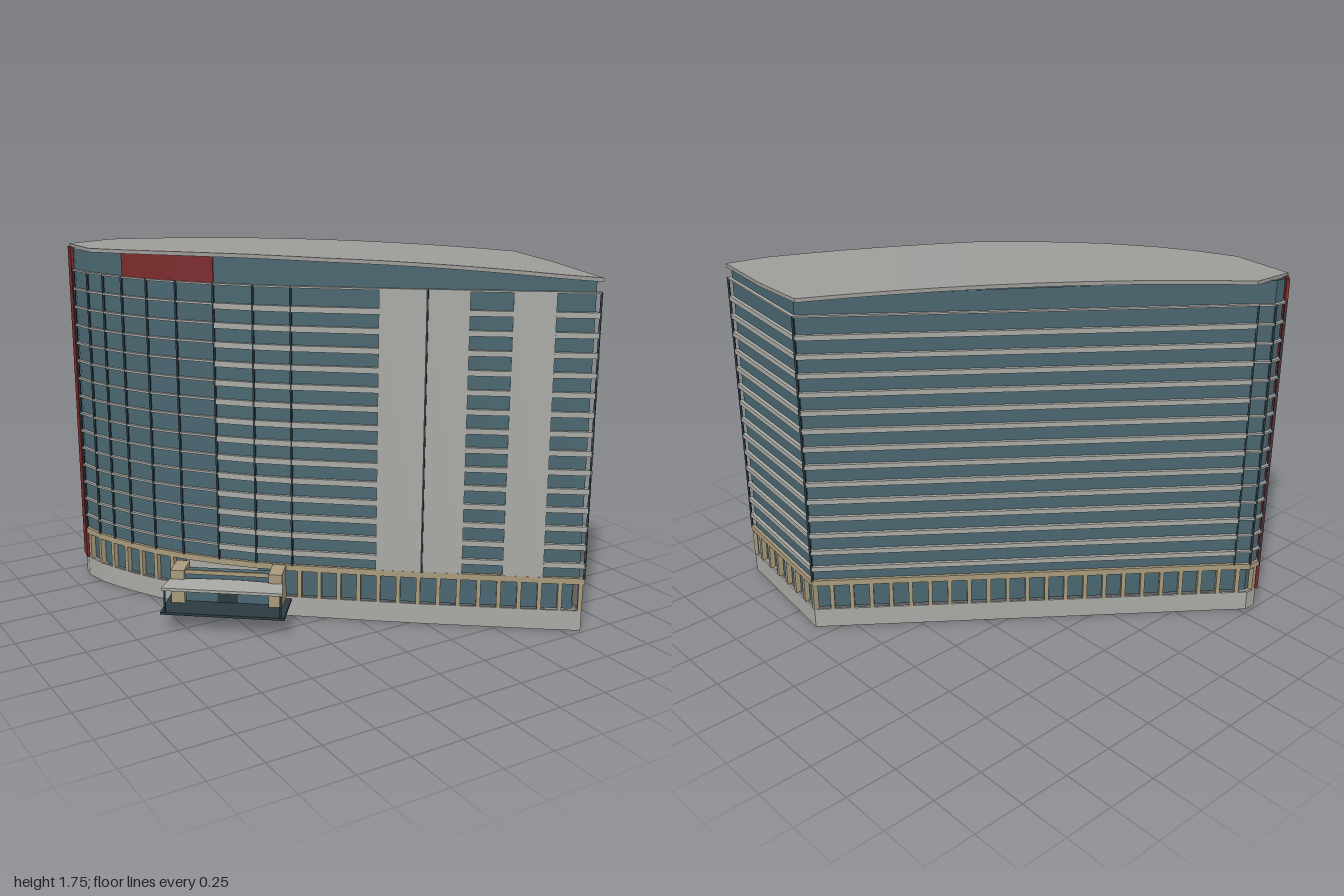
import * as THREE from 'three';

const mat = (name, color) => {
  const m = new THREE.MeshStandardMaterial({ color, side: THREE.DoubleSide, flatShading: true });
  m.name = name;
  return m;
};

// Footprint of the tower (x, z), from the front right corner round the curved left end
const OUTLINE = [
  [0.83, 0.985], [0.68, 0.875], [0.53, 0.76], [0.38, 0.645], [0.23, 0.53], [0.06, 0.395],
  [-0.25, 0.14], [-0.38, 0.02], [-0.51, -0.12], [-0.63, -0.27], [-0.72, -0.4], [-0.79, -0.53],
  [-0.84, -0.64], [-0.88, -0.74], [-0.905, -0.86], [-0.89, -0.94], [-0.84, -0.985],
  [-0.78, -0.98], [-0.72, -0.93], [0.905, 0.33],
].map(([x, z]) => new THREE.Vector2(x, z));
const N = OUTLINE.length;

const ROOF = [
  [-0.89, -0.95], [-0.67, -0.95], [0.92, 0.28], [0.895, 0.6], [0.83, 1.0], [0.66, 0.91],
  [-0.15, 0.28], [-0.3, 0.13], [-0.55, -0.14], [-0.7, -0.33], [-0.8, -0.48], [-0.895, -0.66],
];

const FLOOR0 = 0.25, FLOORS = 15, TOP = 1.61, STEP = (TOP - FLOOR0) / FLOORS;

// Roof height falls away along the length of the tower
const roofY = (x, z) => 1.75 - 0.029 * (0.8 * x + 0.6 * z + 0.35) ** 2;

// Outline corner i moved outwards by d with a mitred corner
function corner(i, d) {
  const p = OUTLINE[(i + N) % N], a = OUTLINE[(i + N - 1) % N], b = OUTLINE[(i + 1) % N];
  const normal = (s, e) => new THREE.Vector2(e.y - s.y, s.x - e.x).normalize();
  const n1 = normal(a, p), n2 = normal(p, b);
  const m = n1.clone().add(n2).normalize();
  const r = d / m.dot(n1);
  return new THREE.Vector2(p.x + m.x * r, -(p.y + m.y * r));
}

// Wall strip along outline corners i0..i1, between two offsets and two heights
function strip(name, material, i0, i1, inner, outer, y0, y1) {
  const inside = [], outside = [];
  const full = i1 - i0 === N;
  for (let i = i0; i <= i1 - (full ? 1 : 0); i++) {
    inside.push(corner(i, inner));
    outside.push(corner(i, outer));
  }
  const shape = new THREE.Shape(full ? outside : outside.concat(inside.reverse()));
  if (full) shape.holes.push(new THREE.Path(inside));
  const toRoof = y1 === 'roof';
  const geo = new THREE.ExtrudeGeometry(shape, { depth: toRoof ? 1 : y1 - y0, bevelEnabled: false });
  geo.rotateX(-Math.PI / 2).translate(0, y0, 0);
  if (toRoof) {
    const p = geo.attributes.position;
    for (let i = 0; i < p.count; i++) {
      if (p.getY(i) > y0 + 0.5) p.setY(i, roofY(p.getX(i), p.getZ(i)) - 0.012);
    }
    geo.computeVertexNormals();
  }
  const mesh = new THREE.Mesh(geo, material);
  mesh.name = name;
  return mesh;
}

function box(name, material, w, h, d, x, y, z, ry = 0) {
  const mesh = new THREE.Mesh(new THREE.BoxGeometry(w, h, d), material);
  mesh.name = name;
  mesh.position.set(x, y, z);
  mesh.rotation.y = ry;
  return mesh;
}

// Curved roof plate, lofted from cross-sections across the length
function roofPlate(material) {
  const pts = ROOF.map(([x, z]) => [0.8 * x + 0.6 * z, -0.6 * x + 0.8 * z]);
  const stations = pts.map((p) => p[0]);
  for (let s = -1.2; s < 1.2; s += 0.15) stations.push(s);
  stations.sort((a, b) => a - b);
  const pos = [], idx = [];
  for (const s of stations) {
    const w = [];
    pts.forEach((p, i) => {
      const q = pts[(i + 1) % pts.length];
      if (s < Math.min(p[0], q[0]) || s > Math.max(p[0], q[0]) || p[0] === q[0]) return;
      w.push(p[1] + ((q[1] - p[1]) * (s - p[0])) / (q[0] - p[0]));
    });
    const back = Math.min(...w), front = Math.max(...w);
    for (const [v, drop] of [[back, 0], [front, 0], [front, 0.018], [back, 0.018]]) {
      const x = 0.8 * s - 0.6 * v, z = 0.6 * s + 0.8 * v;
      pos.push(x, roofY(x, z) - drop, z);
    }
  }
  for (let k = 0; k < stations.length - 1; k++) {
    for (let j = 0; j < 4; j++) {
      const a = 4 * k + j, b = 4 * k + ((j + 1) % 4);
      idx.push(a, b, a + 4, b, b + 4, a + 4);
    }
  }
  const geo = new THREE.BufferGeometry();
  geo.setAttribute('position', new THREE.Float32BufferAttribute(pos, 3));
  geo.setIndex(idx);
  geo.computeVertexNormals();
  const mesh = new THREE.Mesh(geo, material);
  mesh.name = 'roof';
  return mesh;
}

export function createModel() {
  const concrete = mat('concrete', 0xa9a9a5);
  const glass = mat('blue glass', 0x4a6670);
  const tan = mat('tan stone', 0xa89a7c);
  const red = mat('red panel', 0x7c2b2d);
  const dark = mat('dark frame', 0x2c3a40);
  const roofGrey = mat('roof grey', 0x9d9c99);

  const model = new THREE.Group();
  model.name = 'tower';
  const add = (...parts) => model.add(...parts);

  // Base, ground floor glass with the entrance left open, and stone lintel
  add(strip('base', concrete, 0, N, -0.01, 0, 0, 0.1));
  add(strip('groundGlass', glass, 9, N + 7, -0.03, -0.025, 0.1, 0.24));
  add(strip('lintel', tan, 0, N, -0.03, 0.005, 0.235, 0.265));

  // Stone columns round the ground floor
  const path = new THREE.CurvePath();
  OUTLINE.forEach((p, i) => path.add(new THREE.LineCurve(p, OUTLINE[(i + 1) % N])));
  const count = Math.round(path.getLength() / 0.094);
  const columns = new THREE.Group();
  columns.name = 'columns';
  for (let i = 0; i < count; i++) {
    const u = (i + 0.1) / count;
    const p = path.getPoint(u), t = path.getTangent(u);
    if (t.x < 0 && p.x > -0.64 && p.x < -0.34) continue;
    columns.add(box('column', tan, 0.02, 0.14, 0.026,
      p.x - t.y * 0.01, 0.17, p.y + t.x * 0.01, Math.atan2(-t.y, t.x)));
  }
  add(columns);

  // Glass skin up to the roof
  add(strip('glassWall', glass, 0, N, -0.016, -0.01, FLOOR0, 'roof'));

  // Solid concrete bays on the front
  add(strip('wideBay', concrete, 3, 5, -0.009, 0.004, 0.26, TOP));
  add(strip('narrowBay', concrete, 1, 2, -0.009, 0.004, 0.26, TOP));

  // Floor bands: [first corner, last corner, height]
  const runs = [[0, 1, 0.026], [2, 3, 0.026], [5, 8, 0.028], [8, 18, 0.01], [18, 20, 0.024]];
  for (let f = 1; f <= FLOORS; f++) {
    const y = FLOOR0 + f * STEP;
    for (const [a, b, h] of runs) {
      const height = f === FLOORS ? 0.008 : h;
      add(strip('floorBand', concrete, a, b, -0.012, 0.006, y - height, y));
    }
  }

  // Dark mullions on the facet corners
  for (const i of [0, 4, 6, 7, 8, 9, 10, 11, 12, 13, 14, 16, 17, 18, 19]) {
    const p = corner(i, 0.002);
    add(box('mullion', dark, 0.009, TOP - 0.26, 0.009, p.x, (TOP + 0.26) / 2, -p.y, 0.66));
  }

  // Red panels: full height fin on the rounded end and the top floor on the front
  add(strip('redFin', red, 14, 16, -0.004, 0.01, 0.1, 'roof'));
  add(strip('redTopPanel', red, 8, 11, -0.009, -0.003, TOP, 'roof'));

  add(roofPlate(roofGrey));

  // Entrance porch, turned to face out from the front wall
  const porch = new THREE.Group();
  porch.name = 'entrancePorch';
  porch.position.set(-0.525, 0, 0.008);
  porch.rotation.y = -0.663;
  porch.add(box('platform', dark, 0.59, 0.012, 0.23, 0, 0.09, 0.065));
  for (const s of [-1, 1]) {
    porch.add(box('pier', tan, 0.065, 0.165, 0.13, s * 0.235, 0.18, 0));
    porch.add(box('canopyPost', dark, 0.008, 0.11, 0.008, s * 0.275, 0.15, 0.165));
  }
  porch.add(box('lobbyFront', glass, 0.41, 0.14, 0.006, 0, 0.165, 0.03));
  porch.add(box('lobbyRoof', glass, 0.41, 0.008, 0.07, 0, 0.236, -0.005));
  porch.add(box('lobbyBeam', tan, 0.41, 0.02, 0.012, 0, 0.247, 0.035));
  porch.add(box('door', dark, 0.1, 0.1, 0.006, 0, 0.147, 0.034));

  // Canopy with a gently bowed rear edge
  const shape = new THREE.Shape();
  shape.moveTo(-0.287, -0.178);
  shape.lineTo(0.287, -0.178);
  shape.lineTo(0.27, -0.06);
  shape.quadraticCurveTo(0, -0.02, -0.27, -0.06);
  const canopyGeo = new THREE.ExtrudeGeometry(shape, { depth: 0.014, bevelEnabled: false, curveSegments: 8 });
  canopyGeo.rotateX(-Math.PI / 2);
  const canopy = new THREE.Mesh(canopyGeo, concrete);
  canopy.name = 'canopy';
  canopy.position.y = 0.204;
  porch.add(canopy);
  add(porch);

  return model;
}
